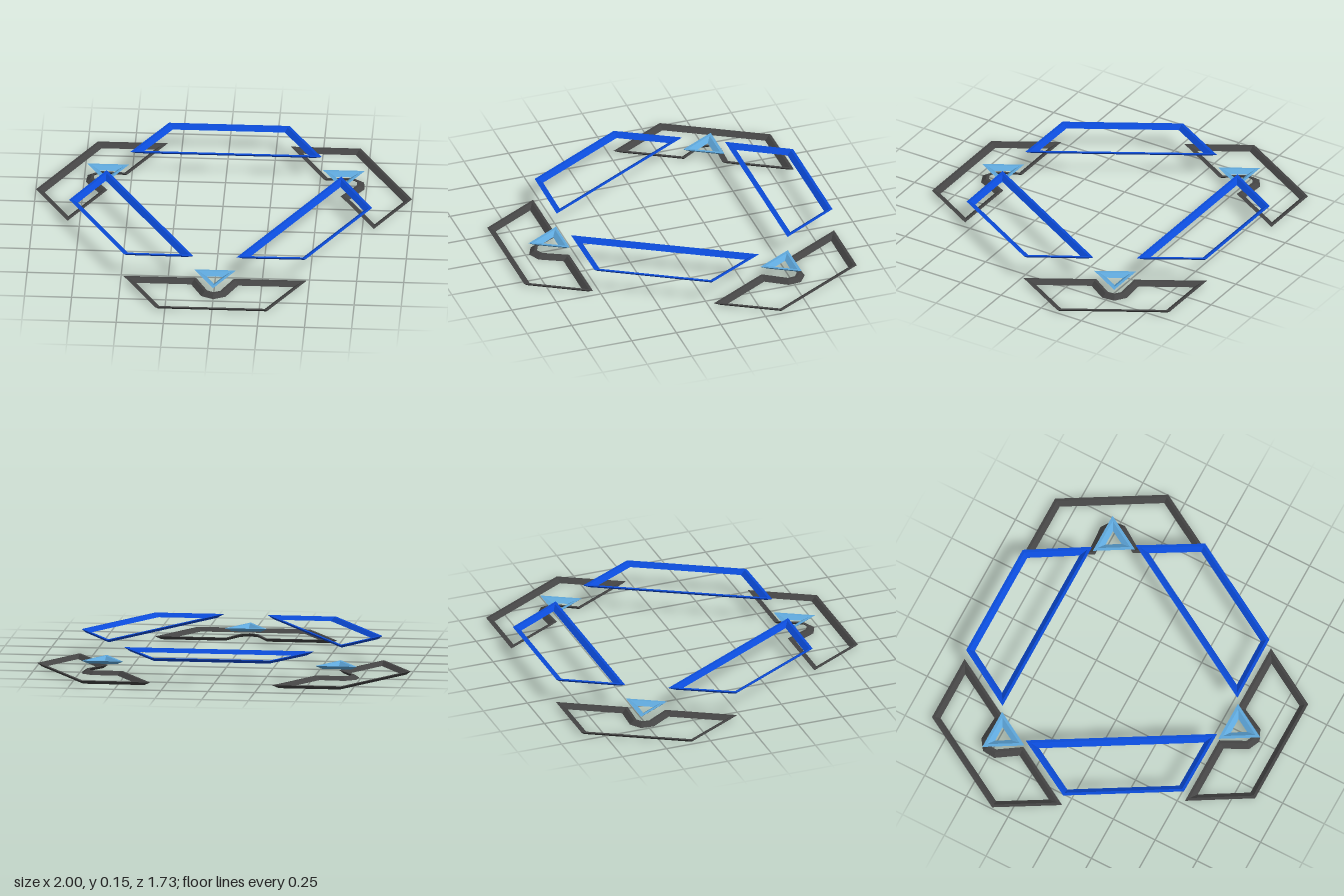
import * as THREE from 'three';

const HEIGHT = 0.018; // thickness of every frame

// Moves each corner of a closed [x, z] outline inward by d, with mitred corners.
function inset(points, d) {
  const n = points.length;
  const normal = (a, b) => new THREE.Vector2(a[1] - b[1], b[0] - a[0]).normalize();
  return points.map((p, i) => {
    const n1 = normal(points[(i + n - 1) % n], p);
    const n2 = normal(p, points[(i + 1) % n]);
    const k = d / (1 + n1.dot(n2));
    return [p[0] + (n1.x + n2.x) * k, p[1] + (n1.y + n2.y) * k];
  });
}

// Thin picture-frame ring: undercut outside wall, inside wall sloping to the opening.
function frameGeometry(points, bottom) {
  const top = bottom + HEIGHT;
  const loops = [[0, top], [0.015, top], [0.04, bottom], [0.02, bottom]].map(([d, y]) =>
    inset(points, d).map(([x, z]) => [x, y, z]));
  const positions = [];
  loops.forEach((loop, k) => {
    const next = loops[(k + 1) % loops.length];
    loop.forEach((p, i) => {
      const j = (i + 1) % loop.length;
      positions.push(...p, ...next[i], ...next[j], ...p, ...next[j], ...loop[j]);
    });
  });
  const geometry = new THREE.BufferGeometry();
  geometry.setAttribute('position', new THREE.Float32BufferAttribute(positions, 3));
  geometry.computeVertexNormals();
  return geometry;
}

export function createModel() {
  const model = new THREE.Group();
  model.name = 'frameRing';

  const parts = [
    // Raised trapezoid frame
    { name: 'upperFrame', color: 0x0b4bd8, bottom: 0.13,
      points: [[-0.32, -0.744], [0.32, -0.744], [0.508, -0.426], [-0.508, -0.426]] },
    // Ground trapezoid frame with a notch in its inner edge
    { name: 'lowerFrame', color: 0x444444, bottom: 0,
      points: [[-0.487, 0.657], [-0.1, 0.657], [-0.035, 0.787], [0, 0.803], [0.035, 0.787],
        [0.1, 0.657], [0.487, 0.657], [0.3, 0.979], [-0.3, 0.979]] },
    // Small triangle hovering over the notch
    { name: 'triangleFrame', color: 0x5fa8dc, bottom: 0.052,
      points: [[-0.112, 0.658], [0.112, 0.658], [0, 0.852]] },
  ];

  // Three-fold symmetry about a centre slightly behind the origin
  for (const { name, color, bottom, points } of parts) {
    const geometry = frameGeometry(points, bottom);
    const material = new THREE.MeshStandardMaterial({ color, flatShading: true });
    for (let i = 0; i < 3; i++) {
      const mesh = new THREE.Mesh(geometry, material);
      mesh.name = name + (i + 1);
      mesh.rotation.y = (i * Math.PI * 2) / 3;
      mesh.position.z = -0.1175;
      model.add(mesh);
    }
  }
  return model;
}
